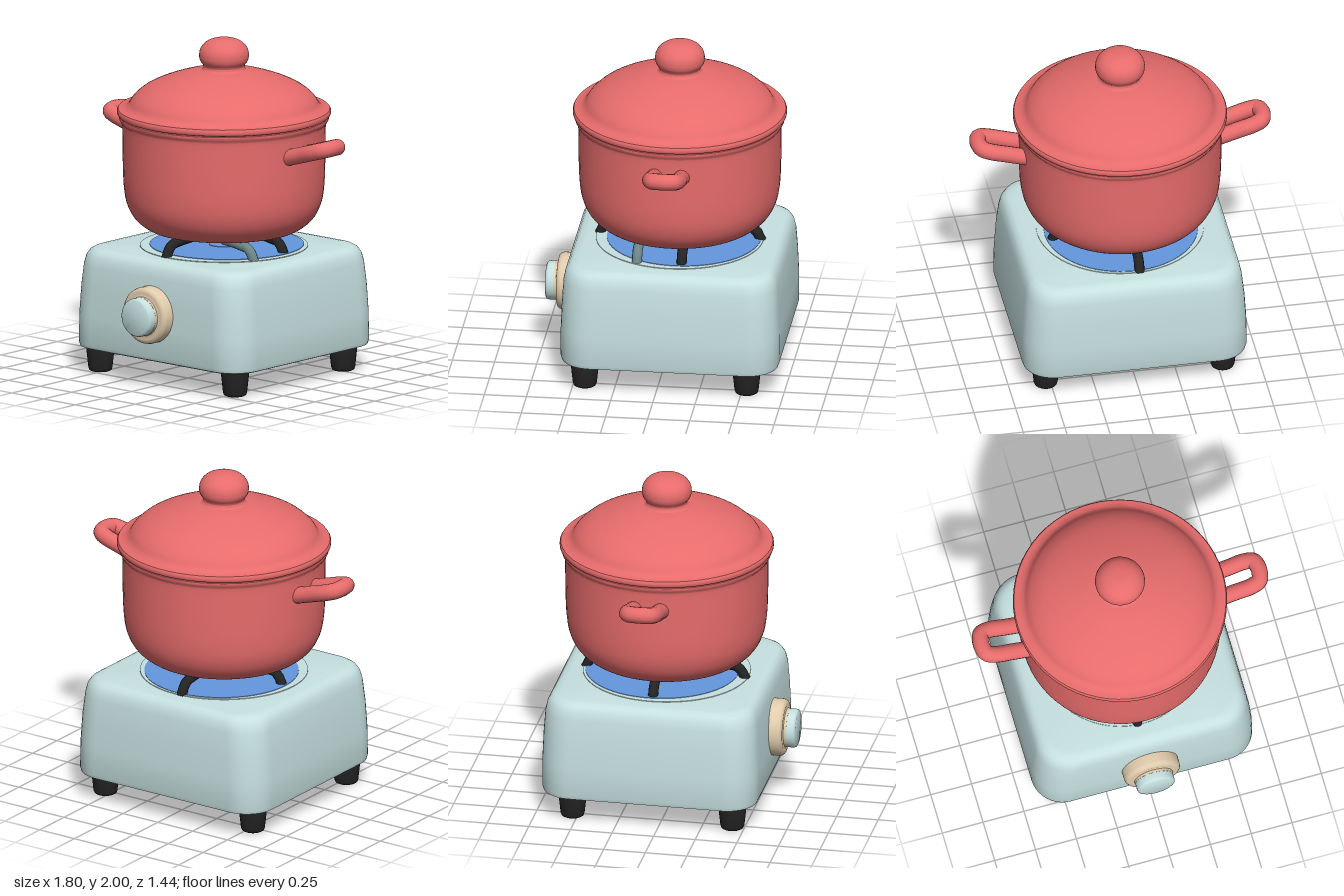
import * as THREE from 'three';
import { toCreasedNormals } from 'three/addons/utils/BufferGeometryUtils.js';

const CZ = -0.07; // depth centre of stove and pot

function material(name, color) {
  const m = new THREE.MeshStandardMaterial({ color });
  m.name = name;
  return m;
}

function part(name, geometry, mat, x = 0, y = 0, z = 0) {
  const mesh = new THREE.Mesh(geometry, mat);
  mesh.name = name;
  mesh.position.set(x, y, z);
  return mesh;
}

const vec2 = (list) => list.map(([x, y]) => new THREE.Vector2(x, y));
const lathe = (points, segments = 64) =>
  toCreasedNormals(new THREE.LatheGeometry(vec2(points), segments), 0.8);
const smooth = (points, n) =>
  new THREE.SplineCurve(vec2(points)).getPoints(n).map((p) => [Math.max(p.x, 0), p.y]);

// Stack of rounded rectangles, each given as [y, halfWidth, halfDepth, cornerRadius]
function loftRoundedBox(sections, steps = 10) {
  const positions = [], index = [];
  const count = 4 * (steps + 1);
  for (const [y, hx, hz, r] of sections) {
    for (let c = 0; c < 4; c++) {
      const sx = c === 0 || c === 3 ? 1 : -1, sz = c < 2 ? 1 : -1;
      for (let i = 0; i <= steps; i++) {
        const a = (c + i / steps) * Math.PI / 2;
        positions.push(sx * (hx - r) + r * Math.cos(a), y, sz * (hz - r) + r * Math.sin(a));
      }
    }
  }
  for (let s = 0; s < sections.length - 1; s++) {
    for (let i = 0; i < count; i++) {
      const a = s * count + i, b = s * count + (i + 1) % count;
      index.push(a, a + count, b, b, a + count, b + count);
    }
  }
  const g = new THREE.BufferGeometry();
  g.setAttribute('position', new THREE.Float32BufferAttribute(positions, 3));
  g.setIndex(index);
  return toCreasedNormals(g, 0.8);
}

export function createModel() {
  const model = new THREE.Group();
  model.name = 'potOnStove';
  const red = material('coral red enamel', 0xe86c6c);
  const mint = material('pale blue green', 0xc6e0e0);
  const shade = material('dull blue green', 0x6c8686);
  const black = material('black iron', 0x242424);
  const cream = material('cream', 0xe0cbac);
  const blue = material('burner blue', 0x6497de);

  // Stove housing, tapering upwards with softened edges, and its darker underside
  const base = [0.15, 0.645, 0.622, 0.17];
  model.add(part('stoveBody', loftRoundedBox([
    base, [0.158, 0.665, 0.64, 0.18],
    [0.18, 0.672, 0.648, 0.19], [0.35, 0.669, 0.648, 0.19], [0.52, 0.659, 0.642, 0.19],
    [0.65, 0.645, 0.634, 0.19], [0.7, 0.635, 0.624, 0.19], [0.73, 0.617, 0.606, 0.18],
    [0.745, 0.594, 0.584, 0.17], [0.75, 0.56, 0.55, 0.15], [0.75, 0, 0, 0],
  ]), mint, 0, 0, CZ));
  model.add(part('stoveUnderside', loftRoundedBox([[0.15, 0, 0, 0], base]), shade, 0, 0, CZ));

  // Feet
  const footShape = lathe([[0, 0], [0.055, 0], [0.066, 0.006], [0.071, 0.02],
    [0.084, 0.14], [0.084, 0.16], [0, 0.16]], 28);
  for (const x of [-0.53, 0.53]) {
    for (const z of [0.43, -0.53]) model.add(part('foot', footShape, black, x, 0, z));
  }

  // Control knob facing forwards
  const knob = new THREE.Group();
  knob.name = 'controlKnob';
  knob.position.set(0, 0.437, 0.56);
  knob.rotation.x = Math.PI / 2;
  knob.add(part('knobBase', lathe([[0, 0], [0.17, 0], [0.17, 0.06], [0.166, 0.076],
    [0.155, 0.087], [0.14, 0.09], [0.126, 0.088], [0.117, 0.092], [0.116, 0.108],
    [0, 0.108]], 48), cream));
  knob.add(part('knobCap', lathe([[0, 0.1], [0.115, 0.1], [0.115, 0.142], [0.111, 0.154],
    [0.1, 0.16], [0, 0.16]], 48), mint));
  model.add(knob);

  // Burner: pale rim plate, blue dish set slightly back, raised centre
  const burner = new THREE.Group();
  burner.name = 'burner';
  burner.position.set(0, 0.75, CZ);
  burner.add(part('burnerRim', new THREE.CylinderGeometry(0.495, 0.495, 0.006, 64), mint, 0, 0.001));
  burner.add(part('burnerDish', new THREE.CylinderGeometry(0.455, 0.455, 0.006, 64), blue, 0, 0.004, -0.025));
  burner.add(part('burnerCap', lathe([[0.09, 0], [0.09, 0.01], [0.075, 0.015], [0, 0.015]], 32), blue));
  model.add(burner);

  // Pan supports: bent bars reaching in under the pot, as [reach, turn, sideways shift]
  const support = (reach) => new THREE.TubeGeometry(new THREE.CatmullRomCurve3([
    [reach, 0.74], [reach - 0.025, 0.79], [reach - 0.055, 0.816],
    [reach - 0.1, 0.825], [0.26, 0.835], [0.18, 0.842],
  ].map(([x, y]) => new THREE.Vector3(x, y, 0))), 24, 0.03, 10);
  const supports = [
    [0.48, -Math.PI / 2, -0.03, 0, black], [0.48, Math.PI / 2, -0.03, 0, black],
    [0.42, Math.PI, 0, 0, black], [0.42, 0, 0, -0.06, black], [0.42, 0, 0, 0.205, shade],
  ];
  for (const [reach, turn, x, z, mat] of supports) {
    const leg = part('panSupport', support(reach), mat, x, 0, CZ + z);
    leg.rotation.y = turn;
    model.add(leg);
  }

  // Pot, lid and lid grip
  const pot = new THREE.Group();
  pot.name = 'pot';
  pot.position.z = CZ;
  pot.add(part('potBody', lathe([[0, 0.845],
    ...smooth([[0.38, 0.845], [0.45, 0.862], [0.525, 0.92], [0.57, 1.0], [0.59, 1.1],
      [0.597, 1.25], [0.6, 1.47], [0.607, 1.495], [0.618, 1.515]], 36),
    [0.616, 1.53], [0.6, 1.537], [0, 1.537]]), red));
  pot.add(part('lid', lathe([[0, 1.535], [0.612, 1.535], [0.626, 1.54], [0.631, 1.55],
    [0.631, 1.567], [0.625, 1.577], [0.61, 1.58],
    ...smooth([[0.585, 1.582], [0.563, 1.6], [0.53, 1.648], [0.46, 1.704], [0.35, 1.754],
      [0.22, 1.795], [0.15, 1.808]], 28), [0, 1.815]]), red));
  pot.add(part('lidGrip', lathe(smooth([[0.15, 1.8], [0.123, 1.82], [0.123, 1.838],
    [0.141, 1.865], [0.147, 1.9], [0.137, 1.94], [0.105, 1.975], [0.055, 1.995], [0, 2]], 32), 40), red));

  // Loop handles, one turned half round
  const half = [[0.57, 0.08], [0.68, 0.08], [0.785, 0.08], [0.835, 0.063], [0.85, 0.02]];
  const loop = [...half, ...half.map(([x, z]) => [x, -z]).reverse()];
  const handlePath = new THREE.CatmullRomCurve3(
    loop.map(([x, z]) => new THREE.Vector3(x, 1.37 + (x - 0.57) * 0.3, z)));
  const handleShape = new THREE.TubeGeometry(handlePath, 56, 0.049, 14);
  for (const turn of [0, Math.PI]) {
    const handle = part('handle', handleShape, red);
    handle.rotation.y = turn;
    pot.add(handle);
  }
  model.add(pot);
  return model;
}
